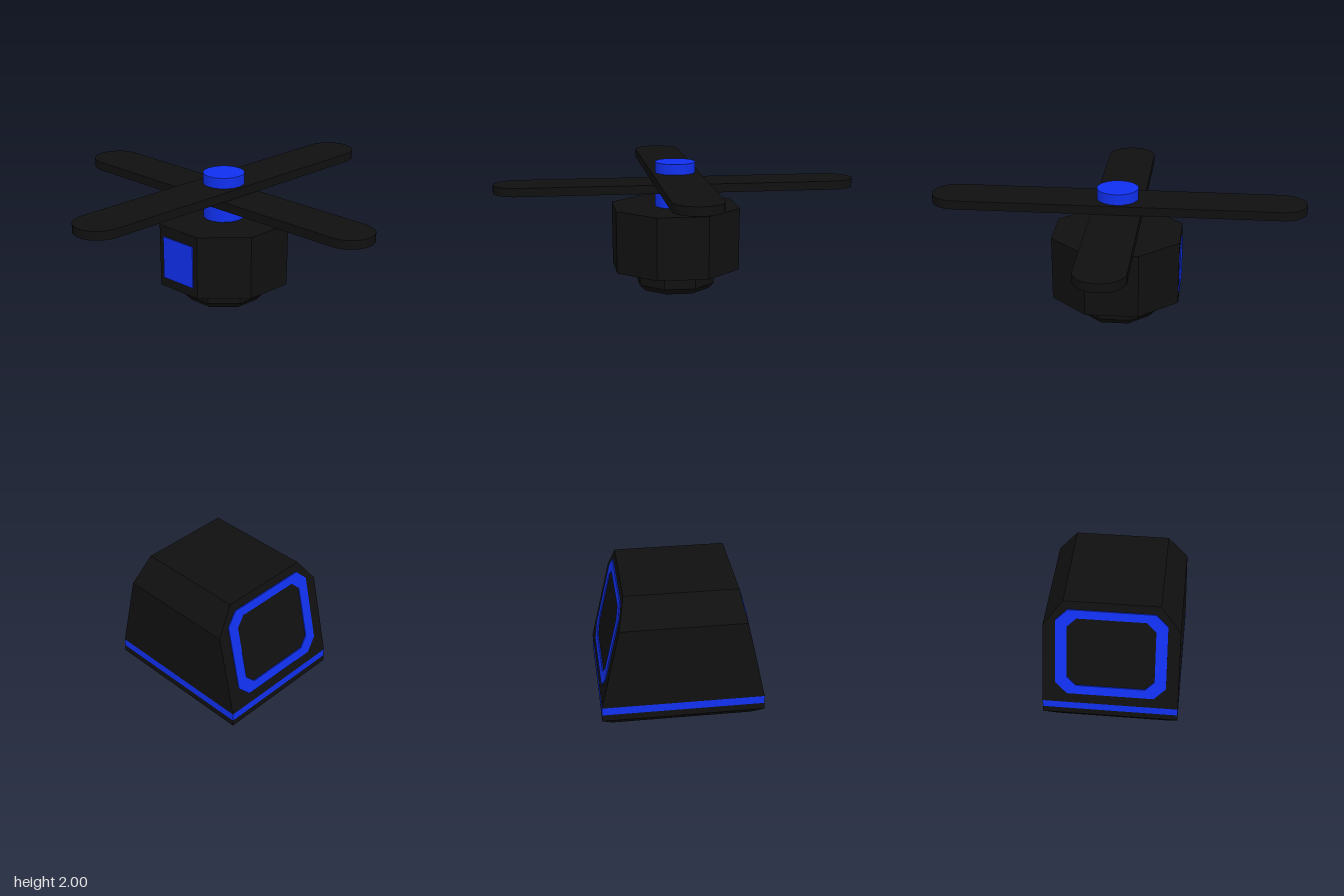
import * as THREE from 'three';

const black = new THREE.MeshStandardMaterial({ color: 0x101010, flatShading: true });
const blue = new THREE.MeshStandardMaterial({ color: 0x1030f0, flatShading: true });
const blueSmooth = new THREE.MeshStandardMaterial({ color: 0x1030f0 });

// Stack of rectangles [y, halfX, halfZ] joined into a closed solid
function rectLoft(levels) {
  const pos = [], idx = [];
  for (const [y, x, z] of levels) pos.push(-x, y, z, x, y, z, x, y, -z, -x, y, -z);
  for (let l = 0; l < levels.length - 1; l++) {
    for (let i = 0; i < 4; i++) {
      const a = l * 4 + i, b = l * 4 + (i + 1) % 4;
      idx.push(a, b, b + 4, a, b + 4, a + 4);
    }
  }
  const t = (levels.length - 1) * 4;
  idx.push(0, 2, 1, 0, 3, 2, t, t + 1, t + 2, t, t + 2, t + 3);
  const g = new THREE.BufferGeometry();
  g.setAttribute('position', new THREE.Float32BufferAttribute(pos, 3));
  g.setIndex(idx);
  const flat = g.toNonIndexed();
  flat.computeVertexNormals();
  return flat;
}

// Rectangle with cut corners
function cutRect(hw, y0, y1, c) {
  return [[-hw + c, y0], [hw - c, y0], [hw, y0 + c], [hw, y1 - c],
    [hw - c, y1], [-hw + c, y1], [-hw, y1 - c], [-hw, y0 + c]]
    .map(([x, y]) => new THREE.Vector2(x, y));
}

export function createModel() {
  const model = new THREE.Group();
  model.name = 'hoveringRotorUnit';
  const add = (name, geometry, material, parent = model) => {
    const mesh = new THREE.Mesh(geometry, material);
    mesh.name = name;
    parent.add(mesh);
    return mesh;
  };

  // Lower body: chamfered foot, coloured band, tapered hull
  const base = new THREE.Group();
  base.name = 'base';
  model.add(base);
  add('foot', rectLoft([[0, 0.26, 0.205], [0.045, 0.3, 0.255], [0.07, 0.3, 0.255]]), black, base);
  add('band', rectLoft([[0.07, 0.3, 0.255], [0.1, 0.3, 0.255]]), blue, base);
  add('hull', rectLoft([[0.1, 0.3, 0.255], [0.415, 0.232, 0.255], [0.515, 0.21, 0.18]]), black, base);

  // Coloured frames lying on the two sloping sides
  const frame = new THREE.Shape(cutRect(0.208, 0.14, 0.483, 0.045));
  frame.holes.push(new THREE.Path(cutRect(0.165, 0.175, 0.45, 0.035)));
  for (const side of [1, -1]) {
    const g = new THREE.ExtrudeGeometry(frame, { depth: 0.004, bevelEnabled: false });
    const p = g.attributes.position;
    for (let i = 0; i < p.count; i++) p.setZ(i, p.getZ(i) + 0.3 - (p.getY(i) - 0.1) * 0.217);
    g.rotateY(side * Math.PI / 2);
    g.computeVertexNormals();
    add(side > 0 ? 'leftFrame' : 'rightFrame', g, blue, base);
  }

  // Octagonal rotor housing with a stepped underside
  const rotor = new THREE.Group();
  rotor.name = 'rotor';
  model.add(rotor);
  const k = 1 / Math.cos(Math.PI / 8);
  const octagon = (top, bottom, y0, y1) =>
    new THREE.CylinderGeometry(top * k, bottom * k, y1 - y0, 8)
      .rotateY(Math.PI / 8).translate(0, (y0 + y1) / 2, 0);
  add('housing', octagon(0.2, 0.2, 1.66, 1.86), black, rotor);
  add('housingStep', octagon(0.123, 0.123, 1.61, 1.66), black, rotor);
  add('housingChamfer', octagon(0.123, 0.105, 1.59, 1.61), black, rotor);
  add('frontLight', new THREE.BoxGeometry(0.13, 0.135, 0.006), blue, rotor).position.set(0, 1.758, 0.2);

  // Shaft
  add('shaft', new THREE.CylinderGeometry(0.065, 0.065, 0.14, 20), blueSmooth, rotor).position.y = 1.93;

  // Two crossed round-ended blades
  const r = 0.077, reach = 0.585 - r;
  const outline = new THREE.Shape();
  outline.absarc(reach, 0, r, -Math.PI / 2, Math.PI / 2, false);
  outline.absarc(-reach, 0, r, Math.PI / 2, Math.PI * 1.5, false);
  outline.closePath();
  const bladeGeo = new THREE.ExtrudeGeometry(outline, { depth: 0.027, bevelEnabled: false, curveSegments: 8 });
  bladeGeo.rotateX(-Math.PI / 2);
  add('lowerBlade', bladeGeo, black, rotor).position.y = 1.912;
  const upper = add('upperBlade', bladeGeo, black, rotor);
  upper.position.y = 1.94;
  upper.rotation.y = Math.PI / 2;

  return model;
}
